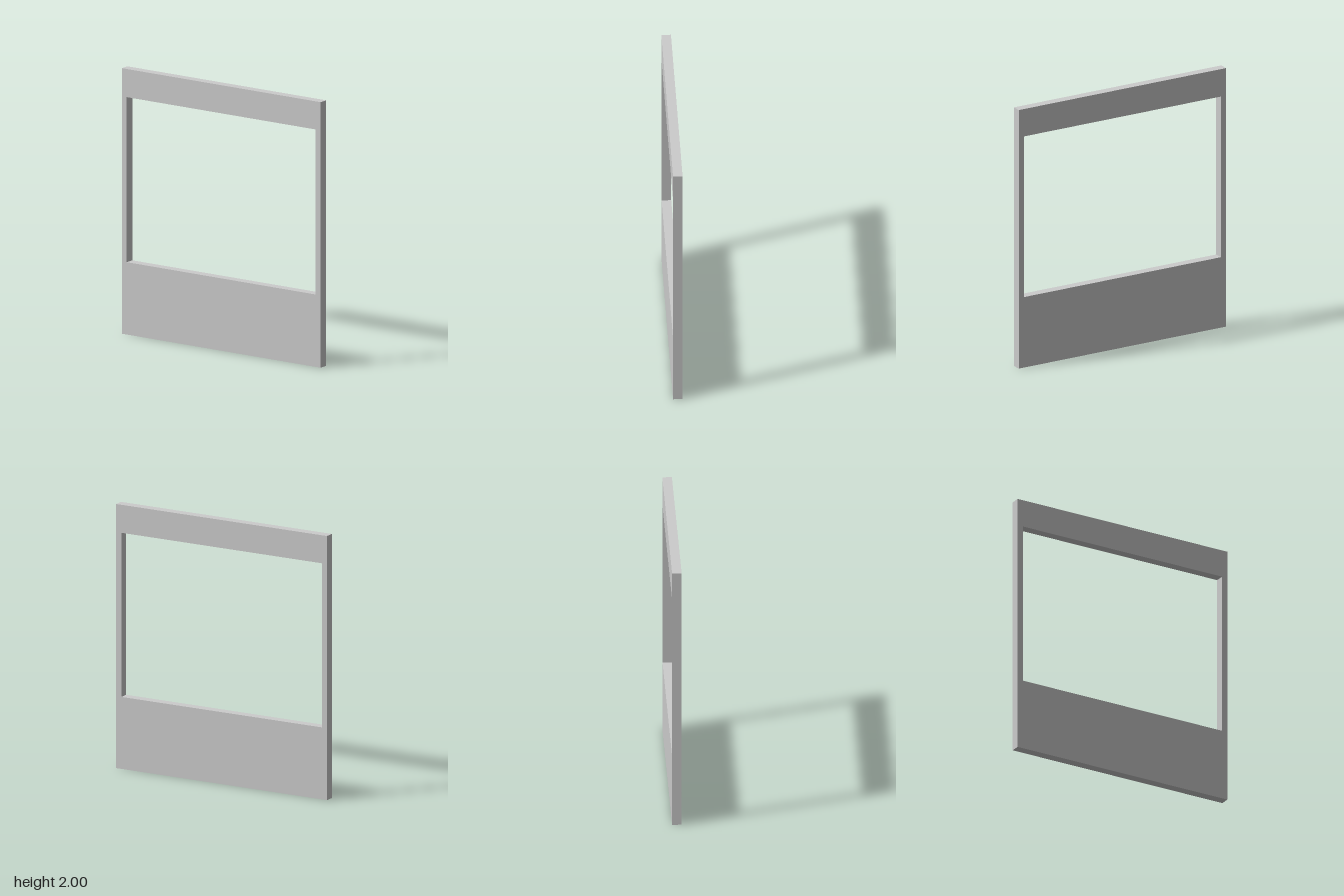
import * as THREE from 'three';

const WIDTH = 1.784, HEIGHT = 2, DEPTH = 0.07;
const OPENING = { halfWidth: 0.848, bottom: 0.545, top: 1.788 };

// Closed rectangle from its left, right, bottom and top edges
function rectangle(target, x0, x1, y0, y1) {
  target.moveTo(x0, y0);
  target.lineTo(x1, y0);
  target.lineTo(x1, y1);
  target.lineTo(x0, y1);
  target.closePath();
  return target;
}

export function createModel() {
  const model = new THREE.Group();
  model.name = 'windowPanel';

  // Flat slab with one rectangular opening cut through it
  const outline = rectangle(new THREE.Shape(), -WIDTH / 2, WIDTH / 2, 0, HEIGHT);
  const { halfWidth, bottom, top } = OPENING;
  outline.holes.push(rectangle(new THREE.Path(), -halfWidth, halfWidth, bottom, top));

  const geometry = new THREE.ExtrudeGeometry(outline, { depth: DEPTH, bevelEnabled: false });
  geometry.translate(0, 0, -DEPTH / 2);

  const frame = new THREE.Mesh(geometry, new THREE.MeshStandardMaterial({ color: 0xcccccc }));
  frame.name = 'frame';
  model.add(frame);

  return model;
}
